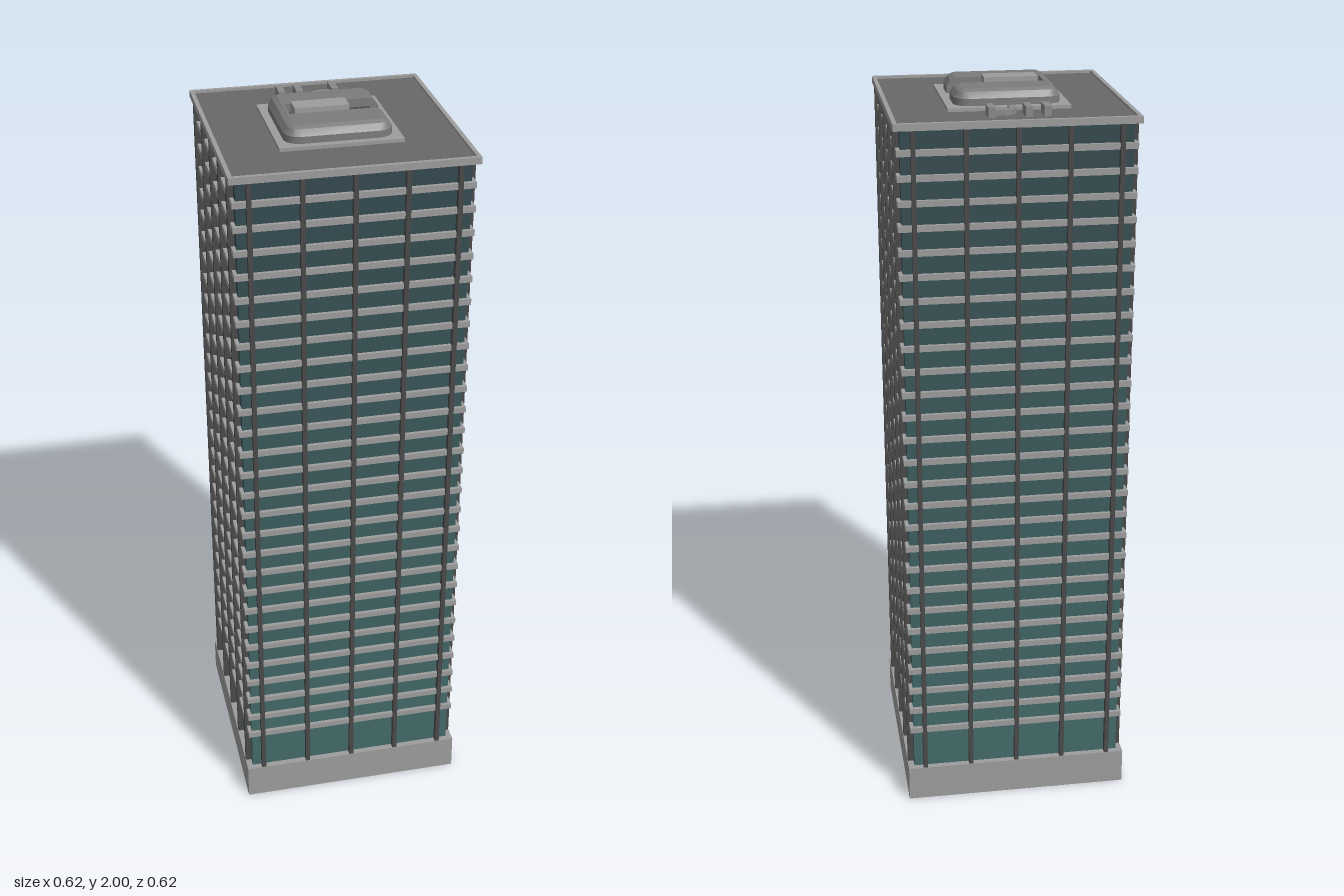
import * as THREE from 'three';
import { toCreasedNormals } from 'three/addons/utils/BufferGeometryUtils.js';

const paint = (color) => new THREE.MeshStandardMaterial({ color });
const concrete = paint(0x9d9d9d);
const deckGrey = paint(0x686868);
const housingGrey = paint(0x7c7c7c);
const ventGrey = paint(0x8a8a8a);
const slotGrey = paint(0x4c4c4c);
const mullionGrey = paint(0x4a4a4a);

// Box given by its limits on each axis
function box(parent, name, [x0, x1], [y0, y1], [z0, z1], material) {
  const mesh = new THREE.Mesh(new THREE.BoxGeometry(x1 - x0, y1 - y0, z1 - z0), material);
  mesh.position.set((x0 + x1) / 2, (y0 + y1) / 2, (z0 + z1) / 2);
  mesh.name = name;
  parent.add(mesh);
}

// Extrusion of a plan drawn as (x, -z), rising from y
function slab(parent, name, shape, y, depth, material) {
  const geo = new THREE.ExtrudeGeometry(shape, { depth, bevelEnabled: false, curveSegments: 8 });
  geo.rotateX(-Math.PI / 2).translate(0, y, 0);
  const mesh = new THREE.Mesh(toCreasedNormals(geo, 0.6), material);
  mesh.name = name;
  parent.add(mesh);
}

function square(h, Type) {
  return new Type([[-h, -h], [h, -h], [h, h], [-h, h]].map(([x, y]) => new THREE.Vector2(x, y)));
}

// Rounded plan with a slot open to +x; only the outer edge moves with the inset
function slottedPlan(inset) {
  const h = 0.138 - inset, r = 0.04 - inset * 1.2, pts = [[h, 0.034]];
  [[1, 1], [-1, 1], [-1, -1], [1, -1]].forEach(([sx, sz], corner) => {
    for (let i = 0; i <= 5; i++) {
      const a = (corner + i / 5) * Math.PI / 2;
      pts.push([sx * (h - r) + r * Math.cos(a), sz * (h - r) + r * Math.sin(a)]);
    }
  });
  pts.push([h, -0.037], [-0.107, -0.037], [-0.107, 0.034]);
  return pts;
}

// Housing walls lofted through the insets, closed by a flat roof
function housingGeometry() {
  const sections = [[1.949, 0], [1.968, 0], [1.984, 0.011], [1.99, 0.024]];
  const n = slottedPlan(0).length, pos = [], index = [];
  for (const [y, inset] of sections) for (const [x, z] of slottedPlan(inset)) pos.push(x, y, z);
  for (let s = 0; s < sections.length - 1; s++) {
    for (let i = 0; i < n; i++) {
      const a = s * n + i, b = s * n + (i + 1) % n;
      index.push(a, a + n, b, b, a + n, b + n);
    }
  }
  const top = (sections.length - 1) * n;
  const outline = slottedPlan(0.024).map(([x, z]) => new THREE.Vector2(x, z));
  for (const [a, b, c] of THREE.ShapeUtils.triangulateShape(outline, [])) index.push(top + a, top + c, top + b);
  const geo = new THREE.BufferGeometry();
  geo.setAttribute('position', new THREE.Float32BufferAttribute(pos, 3));
  geo.setIndex(index);
  return toCreasedNormals(geo, 0.4);
}

export function createModel() {
  const model = new THREE.Group();
  model.name = 'officeTower';

  // Plinth
  box(model, 'base', [-0.31, 0.31], [0, 0.1], [-0.31, 0.31], concrete);

  // Storeys: glazing that darkens upwards, each topped by a floor band
  const storeys = new THREE.Group();
  storeys.name = 'storeys';
  const lowGlass = new THREE.Color(0x446a6a), highGlass = new THREE.Color(0x33494f);
  const count = 27, bandY = (i) => 0.222 + i * 0.0635;
  for (let i = 0; i <= count; i++) {
    const bottom = i === 0 ? 0.1 : bandY(i - 1), top = i === count ? 1.935 : bandY(i);
    const glass = paint(lowGlass.clone().lerp(highGlass, i / count));
    box(storeys, 'glazing', [-0.293, 0.293], [bottom, top], [-0.293, 0.293], glass);
    if (i < count) box(storeys, 'floorBand', [-0.303, 0.303], [top - 0.008, top + 0.008], [-0.303, 0.303], concrete);
  }
  model.add(storeys);

  // Vertical mullions, the same on all four faces
  for (let side = 0; side < 4; side++) {
    const face = new THREE.Group();
    face.name = 'faceMullions';
    for (const x of [-0.262, -0.131, 0, 0.131, 0.262]) {
      box(face, 'mullion', [x - 0.006, x + 0.006], [0.1, 1.935], [0.285, 0.309], mullionGrey);
    }
    face.rotation.y = side * Math.PI / 2;
    model.add(face);
  }

  // Roof deck and parapet rim
  box(model, 'roofDeck', [-0.305, 0.305], [1.931, 1.941], [-0.305, 0.305], deckGrey);
  const rim = square(0.311, THREE.Shape);
  rim.holes.push(square(0.3, THREE.Path));
  slab(model, 'parapet', rim, 1.93, 0.018, concrete);

  // Rooftop plant housing with its slot and central unit
  box(model, 'plantPad', [-0.158, 0.158], [1.94, 1.95], [-0.159, 0.157], concrete);
  const housing = new THREE.Mesh(housingGeometry(), housingGrey);
  housing.name = 'plantHousing';
  model.add(housing);
  box(model, 'slotFloor', [-0.107, 0.113], [1.949, 1.968], [-0.037, 0.034], slotGrey);
  box(model, 'centralUnit', [-0.093, 0.047], [1.96, 2], [-0.028, 0.026], concrete);

  // Vents and the elbow duct behind the housing
  for (const x of [-0.083, -0.036, 0.058]) {
    box(model, 'vent', [x - 0.009, x + 0.009], [1.94, 1.967], [-0.244, -0.191], ventGrey);
  }
  const duct = new THREE.Shape();
  duct.moveTo(-0.013, 0.16);
  duct.lineTo(0.006, 0.16);
  duct.lineTo(0.006, 0.185);
  duct.absarc(0.021, 0.185, 0.015, Math.PI, Math.PI / 2, true);
  duct.lineTo(0.052, 0.2);
  duct.lineTo(0.052, 0.219);
  duct.lineTo(0.021, 0.219);
  duct.absarc(0.021, 0.185, 0.034, Math.PI / 2, Math.PI, false);
  slab(model, 'elbowDuct', duct, 1.94, 0.015, ventGrey);

  return model;
}
